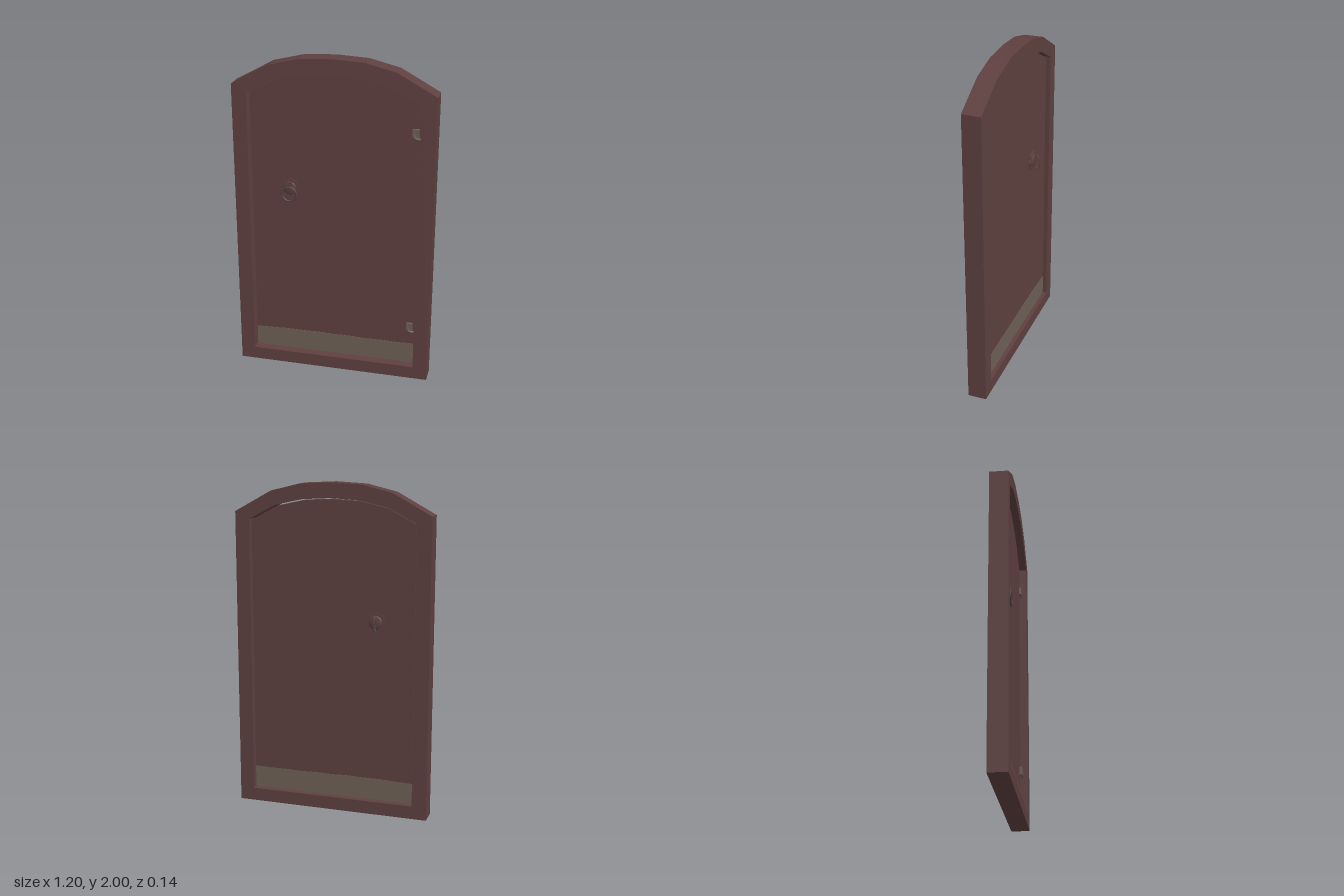
import * as THREE from 'three';

const mat = (name, color) => {
  const m = new THREE.MeshStandardMaterial({ color });
  m.name = name;
  return m;
};

// Arched outline: straight jambs and a faceted arch given as right-half points, outside in
function archPoints(bottom, half) {
  const left = half.filter(([x]) => x > 0).reverse().map(([x, y]) => [-x, y]);
  const w = half[0][0];
  return [[-w, bottom], [w, bottom], ...half, ...left].map(([x, y]) => new THREE.Vector2(x, y));
}

// Extrude an outline between two depths
function slab(points, z0, z1, hole) {
  const shape = new THREE.Shape(points);
  if (hole) shape.holes.push(new THREE.Path(hole));
  const g = new THREE.ExtrudeGeometry(shape, { depth: z1 - z0, bevelEnabled: false });
  return g.translate(0, 0, z0);
}

export function createModel() {
  const group = new THREE.Group();
  const wood = mat('reddish brown wood', 0x5e403f);
  const plate = mat('weathered metal', 0x6d6055);
  const iron = mat('dark iron', 0x4f4540);

  const add = (name, geometry, material, parent = group) => {
    const mesh = new THREE.Mesh(geometry, material);
    mesh.name = name;
    parent.add(mesh);
    return mesh;
  };

  // Frame with an arched opening
  const outer = archPoints(0, [[0.6, 1.82], [0.37, 1.946], [0.19, 1.99], [0, 2]]);
  const opening = archPoints(0.08, [[0.512, 1.775], [0.342, 1.864], [0.176, 1.9], [0, 1.91]]);
  add('frame', slab(outer, -0.045, 0.068, opening), wood);

  // Door leaf, set in with a narrow gap
  const leaf = archPoints(0.087, [[0.505, 1.77], [0.338, 1.857], [0.174, 1.893], [0, 1.902]]);
  add('doorLeaf', slab(leaf, -0.02, 0.022), wood);

  // Kick plates with an uneven upper edge, one on each face
  const edge = [0.222, 0.219, 0.221, 0.218, 0.222, 0.22, 0.224, 0.221, 0.222, 0.217, 0.214];
  const kick = [new THREE.Vector2(-0.505, 0.087), new THREE.Vector2(0.505, 0.087),
    ...edge.map((y, i) => new THREE.Vector2(0.505 - 0.101 * i, y))];
  add('frontKickPlate', slab(kick, 0.022, 0.024), plate);
  add('backKickPlate', slab(kick, -0.022, -0.02), plate);

  // Scalloped rosette with a domed face
  const lobes = [];
  for (let i = 0; i < 32; i++) {
    const a = (i / 32) * Math.PI * 2;
    const r = 0.058 + 0.005 * Math.cos(a * 8);
    lobes.push(new THREE.Vector2(r * Math.cos(a), r * Math.sin(a)));
  }
  const handle = (name, z, turned) => {
    const g = new THREE.Group();
    g.name = name;
    g.position.set(-0.27, 1.19, z);
    add('rosette', slab(lobes, 0, 0.007), wood, g);
    const dome = new THREE.SphereGeometry(0.042, 16, 6, 0, Math.PI * 2, 0, Math.PI / 2);
    add('boss', dome.rotateX(Math.PI / 2).scale(1, 1, 0.25).translate(0, 0, 0.007), wood, g);
    if (turned) {
      // Narrow ring standing out edge-on from the door
      const ring = new THREE.TorusGeometry(0.04, 0.005, 8, 24).scale(0.36, 1, 1).rotateY(Math.PI / 2);
      add('ring', ring.translate(0, -0.01, 0.034), iron, g);
    } else {
      // Hanging ring on a lug
      add('lug', new THREE.BoxGeometry(0.028, 0.042, 0.02).translate(0, 0.022, 0.016), wood, g);
      add('ring', new THREE.TorusGeometry(0.044, 0.006, 8, 28).translate(0, -0.034, 0.025), iron, g);
    }
    group.add(g);
    return g;
  };
  handle('frontHandle', 0.022, false);
  const back = handle('backHandle', -0.02, true);
  back.rotation.y = Math.PI;

  // Hinges: a small plate with a hooked pin
  for (const [name, y] of [['upperHinge', 1.59], ['lowerHinge', 0.34]]) {
    const hinge = new THREE.Group();
    hinge.name = name;
    hinge.position.set(0.478, y, 0.022);
    add('hingePlate', new THREE.BoxGeometry(0.038, 0.05, 0.014).translate(0, 0.002, 0.007), plate, hinge);
    const hook = new THREE.CatmullRomCurve3([
      new THREE.Vector3(-0.012, 0, 0.014), new THREE.Vector3(-0.004, -0.022, 0.016),
      new THREE.Vector3(0.012, -0.03, 0.014), new THREE.Vector3(0.03, -0.03, 0.008)]);
    add('hingeHook', new THREE.TubeGeometry(hook, 10, 0.006, 6), plate, hinge);
    group.add(hinge);
  }
  return group;
}
